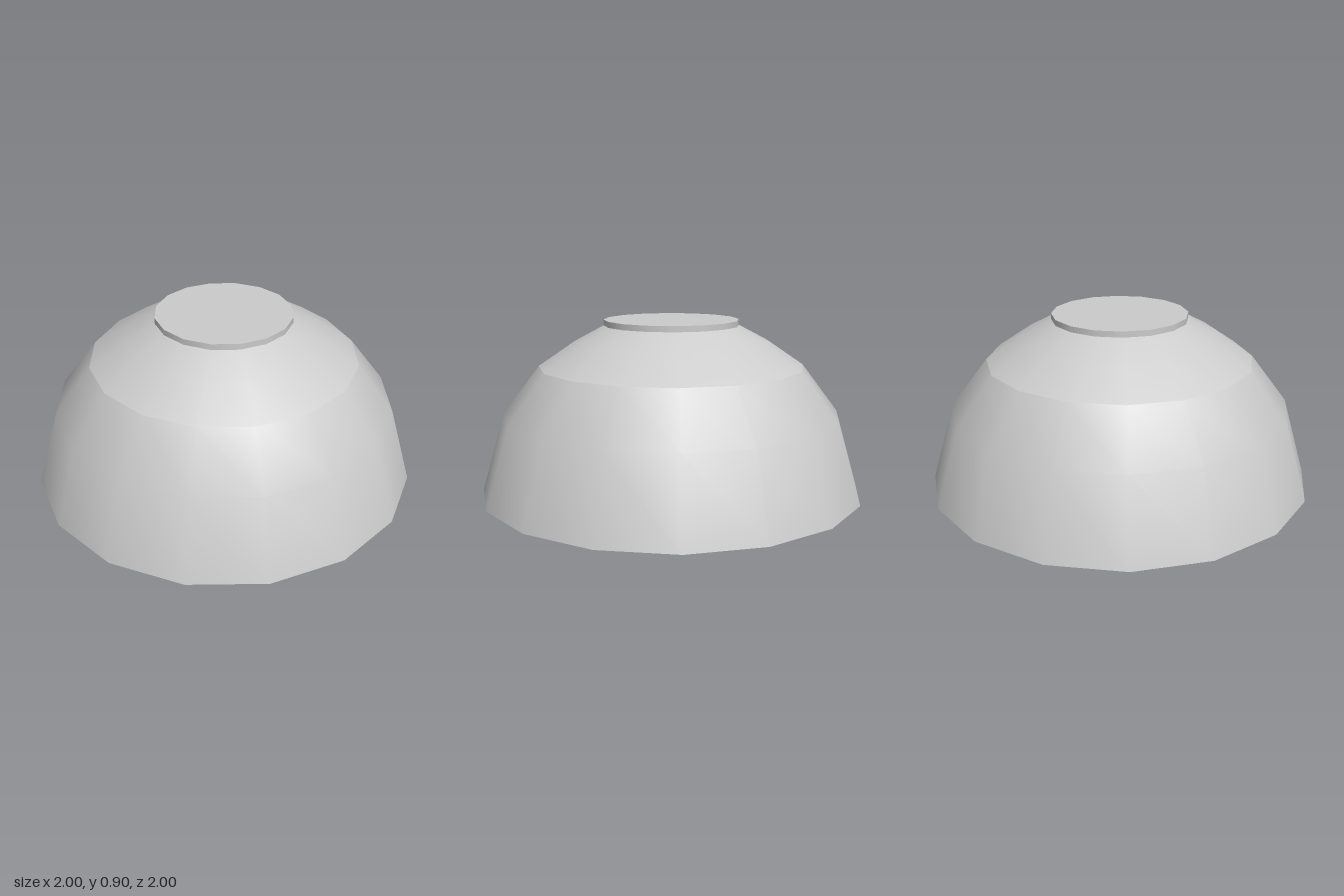
import * as THREE from 'three';

const SIDES = 16;
const material = new THREE.MeshStandardMaterial({ color: 0xcccccc });

// One smooth band of revolution; bands that meet do so at a hard edge.
function addBand(parent, name, points) {
  const profile = points.map(([r, y]) => new THREE.Vector2(r, y));
  const mesh = new THREE.Mesh(new THREE.LatheGeometry(profile, SIDES), material);
  mesh.name = name;
  parent.add(mesh);
}

export function createModel() {
  const model = new THREE.Group();
  model.name = 'upturnedBowl';

  // Outer shell, from the rim up to the foot
  addBand(model, 'outerWall', [[1, 0], [0.88, 0.41], [0.69, 0.66]]);
  addBand(model, 'outerShoulder', [[0.69, 0.66], [0.5, 0.79], [0.35, 0.87]]);
  addBand(model, 'footSide', [[0.35, 0.87], [0.35, 0.9]]);
  addBand(model, 'footBase', [[0.35, 0.9], [0, 0.9]]);

  // Filling inside the bowl: a low bulge, a groove and a flat border
  addBand(model, 'fillingBulge', [[0, 0.18], [0.3, 0.19], [0.555, 0.27]]);
  addBand(model, 'fillingGroove', [[0.555, 0.27], [0.73, 0.21]]);
  addBand(model, 'fillingBorder', [[0.73, 0.21], [0.88, 0.205]]);

  // Inner wall and flat rim
  addBand(model, 'innerWall', [[0.88, 0.205], [0.93, 0]]);
  addBand(model, 'rim', [[0.93, 0], [1, 0]]);

  return model;
}
